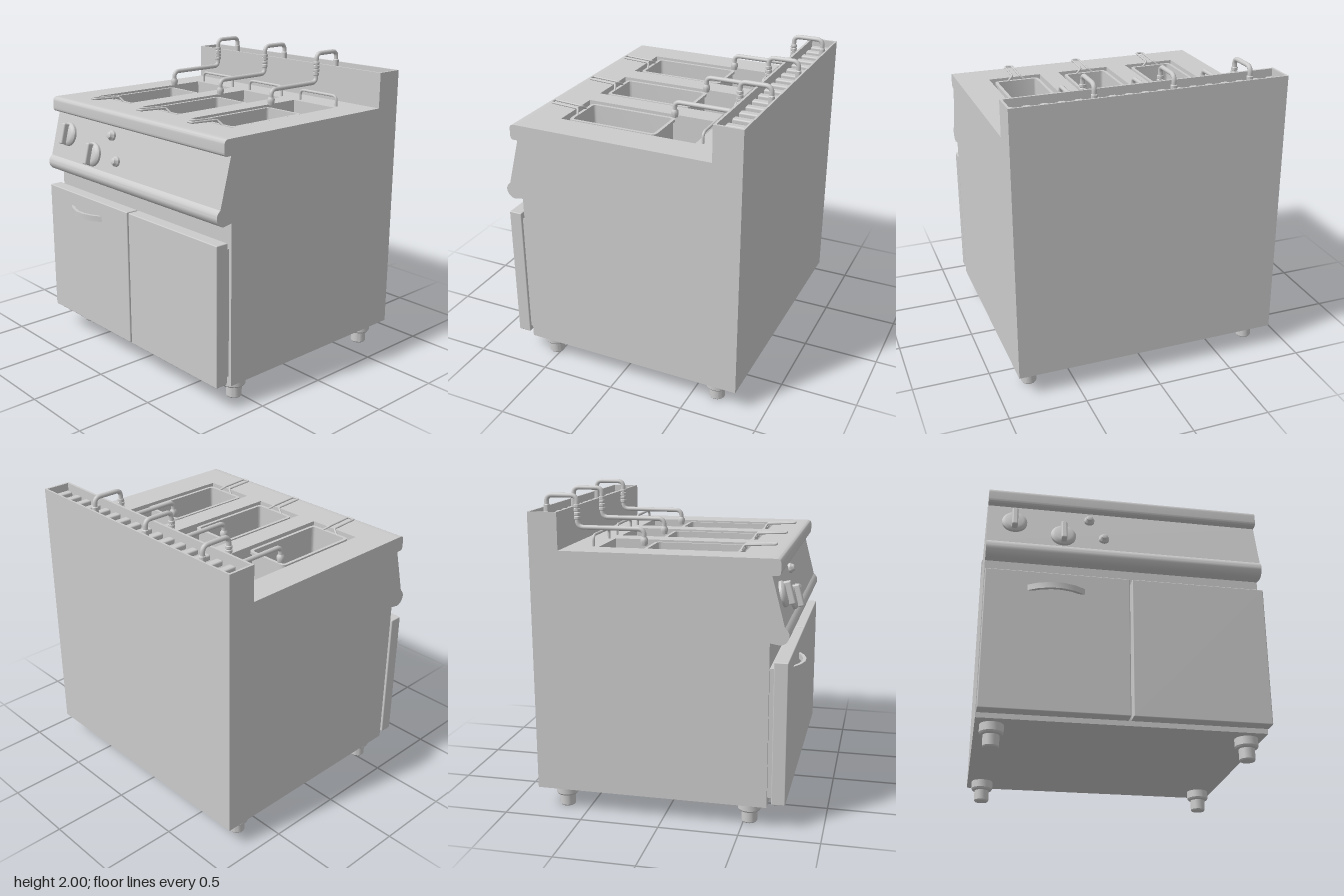
import * as THREE from 'three';
import { RoundedBoxGeometry } from 'three/addons/geometries/RoundedBoxGeometry.js';
import { toCreasedNormals } from 'three/addons/utils/BufferGeometryUtils.js';

const mat = new THREE.MeshStandardMaterial({ color: 0xcccccc });
const HALF = 0.88;                      // half width along z
const wells = [-0.505, -0.005, 0.49];   // z centres of the three tanks
const v = (x, y, z) => new THREE.Vector3(x, y, z);

export function createModel() {
  const root = new THREE.Group();

  function add(name, geo, parent = root) {
    const m = new THREE.Mesh(geo, mat);
    m.name = name;
    parent.add(m);
    return m;
  }
  // axis-aligned box given by its limits
  function box(name, x0, x1, y0, y1, z0, z1, parent, radius = 0) {
    const s = [x1 - x0, y1 - y0, z1 - z0];
    const g = radius ? new RoundedBoxGeometry(...s, 2, radius) : new THREE.BoxGeometry(...s);
    g.translate((x0 + x1) / 2, (y0 + y1) / 2, (z0 + z1) / 2);
    return add(name, g, parent);
  }
  // rectangle outline in plan, optionally with round corners
  function rect(path, x0, x1, z0, z1, r = 0) {
    const a = -z1, b = -z0;
    path.moveTo(x0 + r, a);
    path.lineTo(x1 - r, a);
    if (r) path.quadraticCurveTo(x1, a, x1, a + r);
    path.lineTo(x1, b - r);
    if (r) path.quadraticCurveTo(x1, b, x1 - r, b);
    path.lineTo(x0 + r, b);
    if (r) path.quadraticCurveTo(x0, b, x0, b - r);
    path.lineTo(x0, a + r);
    if (r) path.quadraticCurveTo(x0, a, x0 + r, a);
    path.closePath();
    return path;
  }
  // plan shape raised from y0 to y1
  function raise(name, shape, y0, y1, parent) {
    const g = new THREE.ExtrudeGeometry(shape, { depth: y1 - y0, bevelEnabled: false, curveSegments: 5 });
    g.rotateX(-Math.PI / 2).translate(0, y0, 0);
    return add(name, toCreasedNormals(g, 0.6), parent);
  }
  // side profile swept over the full width
  function sweep(name, shape) {
    const g = new THREE.ExtrudeGeometry(shape, { depth: 2 * HALF, bevelEnabled: false, curveSegments: 8 });
    return add(name, toCreasedNormals(g.translate(0, 0, -HALF), 0.6));
  }
  // pipe along points, corners rounded by radius c
  function pipe(name, pts, r, c, parent) {
    const path = new THREE.CurvePath();
    let last = pts[0];
    for (let i = 1; i < pts.length - 1; i++) {
      const a = pts[i].clone().add(pts[i - 1].clone().sub(pts[i]).setLength(c));
      const b = pts[i].clone().add(pts[i + 1].clone().sub(pts[i]).setLength(c));
      path.add(new THREE.LineCurve3(last, a));
      path.add(new THREE.QuadraticBezierCurve3(a, pts[i], b));
      last = b;
    }
    path.add(new THREE.LineCurve3(last, pts[pts.length - 1]));
    return add(name, new THREE.TubeGeometry(path, 90, r, 10, false), parent);
  }
  function lathe(name, pts, parent) {
    const g = new THREE.LatheGeometry(pts.map(p => new THREE.Vector2(...p)), 28);
    return add(name, toCreasedNormals(g, 0.6), parent);
  }

  // cabinet and worktop with the three tank openings
  box('cabinet', -0.655, 0.82, 0.14, 1.32, -HALF, HALF);
  const top = rect(new THREE.Shape(), -0.655, 0.82, -HALF, HALF);
  for (const c of wells) top.holes.push(rect(new THREE.Path(), -0.47, 0.44, c - 0.18, c + 0.18));
  raise('worktopAndTanks', top, 1.32, 1.68);

  // rounded worktop edge
  const nose = new THREE.Shape();
  nose.moveTo(-0.655, 1.58);
  nose.lineTo(-0.69, 1.58);
  nose.quadraticCurveTo(-0.712, 1.58, -0.712, 1.605);
  nose.lineTo(-0.712, 1.65);
  nose.quadraticCurveTo(-0.712, 1.68, -0.68, 1.68);
  nose.lineTo(-0.655, 1.68);
  sweep('worktopEdge', nose);

  // sloping control panel with rounded lip
  const panel = new THREE.Shape();
  panel.moveTo(-0.655, 1.18);
  panel.lineTo(-0.715, 1.17);
  panel.quadraticCurveTo(-0.755, 1.175, -0.768, 1.215);
  panel.quadraticCurveTo(-0.775, 1.25, -0.742, 1.275);
  panel.lineTo(-0.662, 1.58);
  panel.lineTo(-0.655, 1.58);
  sweep('controlPanel', panel);

  // rear flue with slats
  const flue = rect(new THREE.Shape(), 0.635, 0.82, -HALF, HALF);
  flue.holes.push(rect(new THREE.Path(), 0.65, 0.808, -0.865, 0.865));
  raise('flue', flue, 1.68, 1.91);
  box('flueFloor', 0.64, 0.81, 1.7, 1.8, -0.87, 0.87);
  for (let i = 0; i < 17; i++) {
    const z = -0.838 + i * 0.1045;
    box('flueSlat', 0.655, 0.805, 1.83, 1.865, z - 0.025, z + 0.025, root, 0.01);
  }

  // doors
  box('doorBacking', -0.685, -0.65, 0.2, 1.02, -0.86, 0.86);
  box('leftDoor', -0.768, -0.682, 0.16, 1.065, -0.877, 0.018, root, 0.006);
  box('rightDoor', -0.768, -0.682, 0.16, 1.065, 0.032, 0.877, root, 0.006);

  // bowed door handle
  const bow = new THREE.Shape();
  bow.moveTo(-0.76, 0.63);
  bow.quadraticCurveTo(-0.9, 0.44, -0.76, 0.25);
  bow.lineTo(-0.76, 0.285);
  bow.quadraticCurveTo(-0.855, 0.44, -0.76, 0.595);
  bow.closePath();
  raise('doorHandle', bow, 0.932, 0.97);

  // controls, standing square to the sloping panel
  function control(name, y, z) {
    const g = new THREE.Group();
    g.name = name;
    g.position.set(-0.742 + (y - 1.275) * 0.262, y, z);
    g.rotation.z = Math.PI / 2 - 0.257;
    root.add(g);
    return g;
  }
  for (const [y, z] of [[1.44, -0.71], [1.36, -0.4]]) {
    const k = control('knob', y, z);
    lathe('knobBase', [[0.08, -0.01], [0.08, 0.015], [0.07, 0.028], [0.055, 0.034], [0, 0.034]], k);
    box('knobGrip', -0.072, 0.072, 0.02, 0.07, -0.019, 0.019, k, 0.01);
  }
  for (const [y, z] of [[1.51, -0.23], [1.36, -0.14]]) {
    lathe('indicatorLamp', [[0.033, -0.01], [0.033, 0.015], [0.024, 0.025], [0.02, 0.036], [0.01, 0.042], [0, 0.043]],
      control('indicator', y, z));
  }

  // baskets, rails and filling taps, one set per tank
  for (const c of wells) {
    const basket = new THREE.Group();
    basket.name = 'basket';
    root.add(basket);
    const wall = rect(new THREE.Shape(), -0.425, 0.155, c - 0.143, c + 0.143, 0.03);
    wall.holes.push(rect(new THREE.Path(), -0.415, 0.145, c - 0.133, c + 0.133, 0.022));
    raise('basketWall', wall, 1.42, 1.665, basket);
    raise('basketFloor', rect(new THREE.Shape(), -0.42, 0.15, c - 0.138, c + 0.138, 0.025), 1.41, 1.425, basket);
    const rim = rect(new THREE.Shape(), -0.435, 0.165, c - 0.153, c + 0.153, 0.035);
    rim.holes.push(rect(new THREE.Path(), -0.415, 0.145, c - 0.133, c + 0.133, 0.022));
    raise('basketRim', rim, 1.655, 1.672, basket);
    pipe('basketHandle', [
      v(-0.425, 1.668, c - 0.06), v(-0.44, 1.698, c - 0.024), v(-0.635, 1.708, c - 0.024),
      v(-0.635, 1.708, c + 0.024), v(-0.44, 1.698, c + 0.024), v(-0.425, 1.668, c + 0.06),
    ], 0.007, 0.012, basket);

    pipe('tankRod', [v(0.15, 1.56, c + 0.115), v(0.3, 1.56, c + 0.115), v(0.44, 1.56, c + 0.115)], 0.012, 0.02);
    pipe('basketRail', [v(0.48, 1.67, c - 0.16), v(0.48, 1.748, c - 0.16),
      v(0.48, 1.748, c + 0.16), v(0.48, 1.67, c + 0.16)], 0.009, 0.035);

    // swivel tap
    const z = c - 0.125;
    const tap = new THREE.Group();
    tap.name = 'tap';
    root.add(tap);
    pipe('tapPipe', [v(0.79, 1.8, z), v(0.79, 1.985, z), v(0.592, 1.985, z),
      v(0.592, 1.79, z), v(0.165, 1.79, z), v(0.165, 1.72, z)], 0.015, 0.04, tap);
    lathe('tapNozzle', [[0, 1.69], [0.019, 1.69], [0.024, 1.71], [0.024, 1.728], [0.016, 1.742]], tap)
      .position.set(0.165, 0, z);
    const ribs = [[0.015, 1.835]];
    for (let i = 0; i < 4; i++) {
      const y = 1.84 + i * 0.024;
      ribs.push([0.021, y], [0.021, y + 0.016], [0.017, y + 0.02]);
    }
    lathe('tapJoint', ribs, tap).position.set(0.592, 0, z);
    lathe('tapCollar', [[0.02, 1.85], [0.02, 1.925], [0.015, 1.93]], tap).position.set(0.79, 0, z);
  }

  // feet
  for (const x of [-0.535, 0.66]) for (const z of [-0.778, 0.778]) {
    lathe('foot', [[0, 0], [0.044, 0], [0.05, 0.008], [0.05, 0.075], [0.066, 0.08], [0.073, 0.09], [0.073, 0.14], [0, 0.14]])
      .position.set(x, 0, z);
  }
  return root;
}
